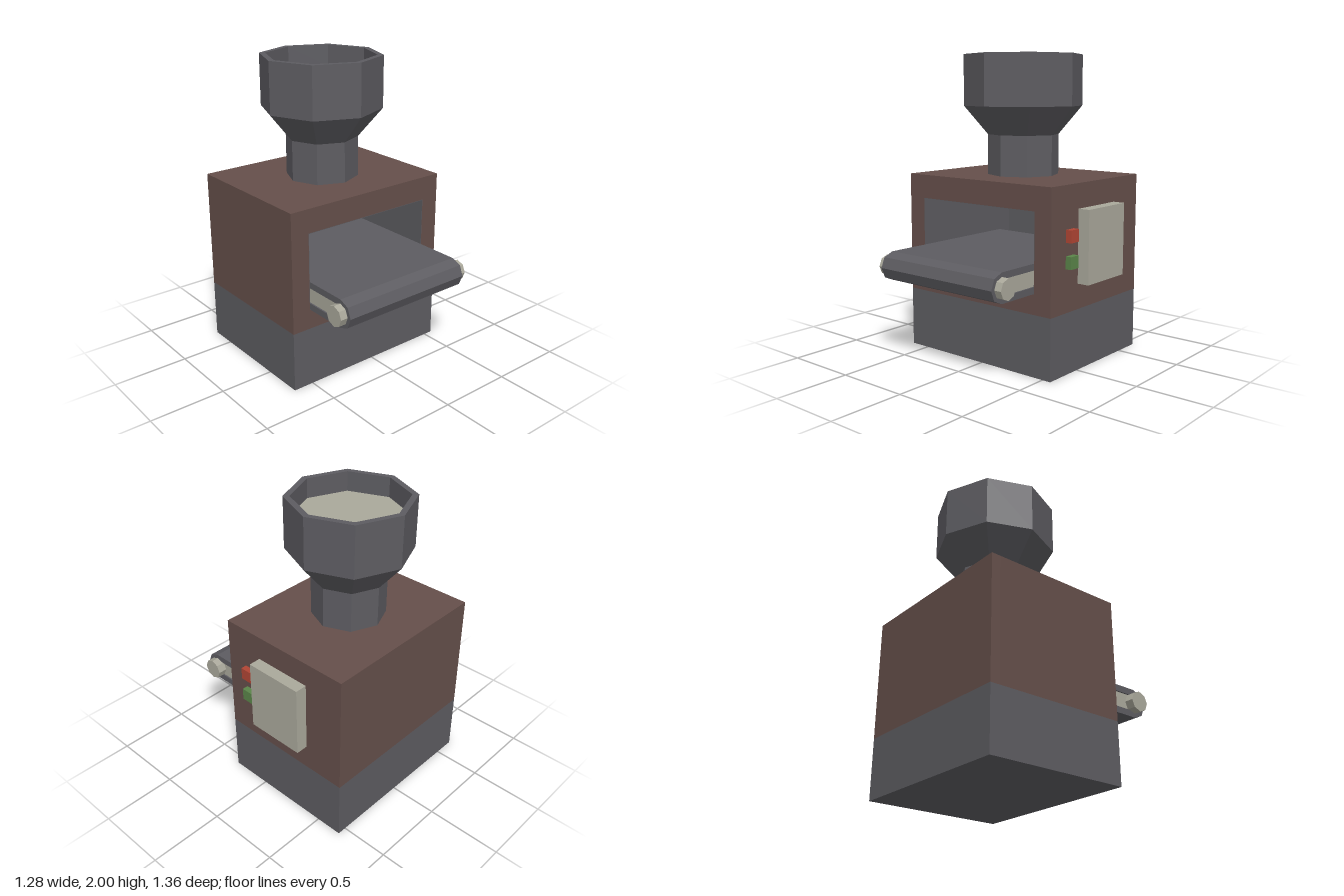
import * as THREE from 'three';

const mat = (name, color) => {
  const m = new THREE.MeshStandardMaterial({ color });
  m.name = name;
  return m;
};

export function createModel() {
  const model = new THREE.Group();
  model.name = 'hopperMachine';
  const brown = mat('brown casing', 0x654f4a);
  const grey = mat('dark grey metal', 0x5d5c61);
  const beige = mat('beige', 0xaaa89b);
  const red = mat('red', 0xb04534);
  const green = mat('green', 0x5a8549);
  grey.flatShading = beige.flatShading = true;

  const add = (name, geo, material) => {
    const mesh = new THREE.Mesh(geo, material);
    mesh.name = name;
    model.add(mesh);
    return mesh;
  };
  // box from its lower and upper limits on each axis
  const box = (name, material, [x0, x1], [y0, y1], [z0, z1]) =>
    add(name, new THREE.BoxGeometry(x1 - x0, y1 - y0, z1 - z0), material)
      .position.set((x0 + x1) / 2, (y0 + y1) / 2, (z0 + z1) / 2);
  const rect = (T, x0, x1, y0, y1) => new T([[x0, y0], [x1, y0], [x1, y1], [x0, y1]]
    .map(([x, y]) => new THREE.Vector2(x, y)));
  const extrude = (shape, depth) => new THREE.ExtrudeGeometry(shape, { depth, bevelEnabled: false });

  // casing: grey base, brown housing with a deep front opening
  box('base', grey, [-0.64, 0.56], [0, 0.4], [-0.68, 0.28]);
  box('housingBack', brown, [-0.64, 0.56], [0.4, 1.2], [-0.68, -0.62]);
  const frame = rect(THREE.Shape, -0.64, 0.56, 0.4, 1.2);
  frame.holes.push(rect(THREE.Path, -0.513, 0.433, 0.53, 1.043));
  add('housing', extrude(frame, 0.9), brown).position.z = -0.62;
  const lining = rect(THREE.Shape, -0.513, 0.433, 0.53, 1.043);
  lining.holes.push(rect(THREE.Path, -0.51, 0.43, 0.533, 1.04));
  add('openingLining', extrude(lining, 0.9), grey).position.z = -0.62;
  box('openingBack', grey, [-0.51, 0.43], [0.533, 1.04], [-0.62, -0.612]);

  // conveyor: faceted belt loop round a beige core, with roller ends
  const beltY = 0.627, frontZ = 0.58, backZ = -0.5;
  const loop = (T, r) => {
    const pts = [];
    for (let i = 0; i <= 4; i++) {
      const a = -Math.PI / 2 + i * Math.PI / 4;
      pts.push(new THREE.Vector2(frontZ + r * Math.cos(a), beltY + r * Math.sin(a)));
    }
    for (let i = 0; i <= 4; i++) {
      const a = Math.PI / 2 + i * Math.PI / 4;
      pts.push(new THREE.Vector2(backZ + r * Math.cos(a), beltY + r * Math.sin(a)));
    }
    return new T(pts);
  };
  const belt = loop(THREE.Shape, 0.095);
  belt.holes.push(loop(THREE.Path, 0.052));
  add('conveyorBelt', extrude(belt, 0.94).rotateY(-Math.PI / 2), grey).position.x = 0.43;
  add('conveyorCore', extrude(loop(THREE.Shape, 0.052), 0.92).rotateY(-Math.PI / 2), beige).position.x = 0.42;
  add('conveyorRoller', new THREE.CylinderGeometry(0.068, 0.068, 1.04, 8).rotateZ(Math.PI / 2), beige)
    .position.set(-0.04, beltY, frontZ);

  // octagonal hopper, hollow above its filling
  const profile = [[0.24, 1.2], [0.24, 1.47], [0.4, 1.66], [0.4, 2], [0.36, 2], [0.36, 1.86]]
    .map(([r, y]) => new THREE.Vector2(r, y));
  add('hopper', new THREE.LatheGeometry(profile, 8), grey).position.set(-0.04, 0, -0.2);
  add('hopperFilling', new THREE.CircleGeometry(0.36, 8).rotateX(-Math.PI / 2), beige)
    .position.set(-0.04, 1.87, -0.2);

  // side controls
  box('sidePanel', beige, [0.56, 0.64], [0.565, 1.04], [-0.4, 0]);
  box('redButton', red, [0.56, 0.6], [0.845, 0.925], [0.05, 0.13]);
  box('greenButton', green, [0.56, 0.6], [0.68, 0.76], [0.05, 0.13]);

  return model;
}
